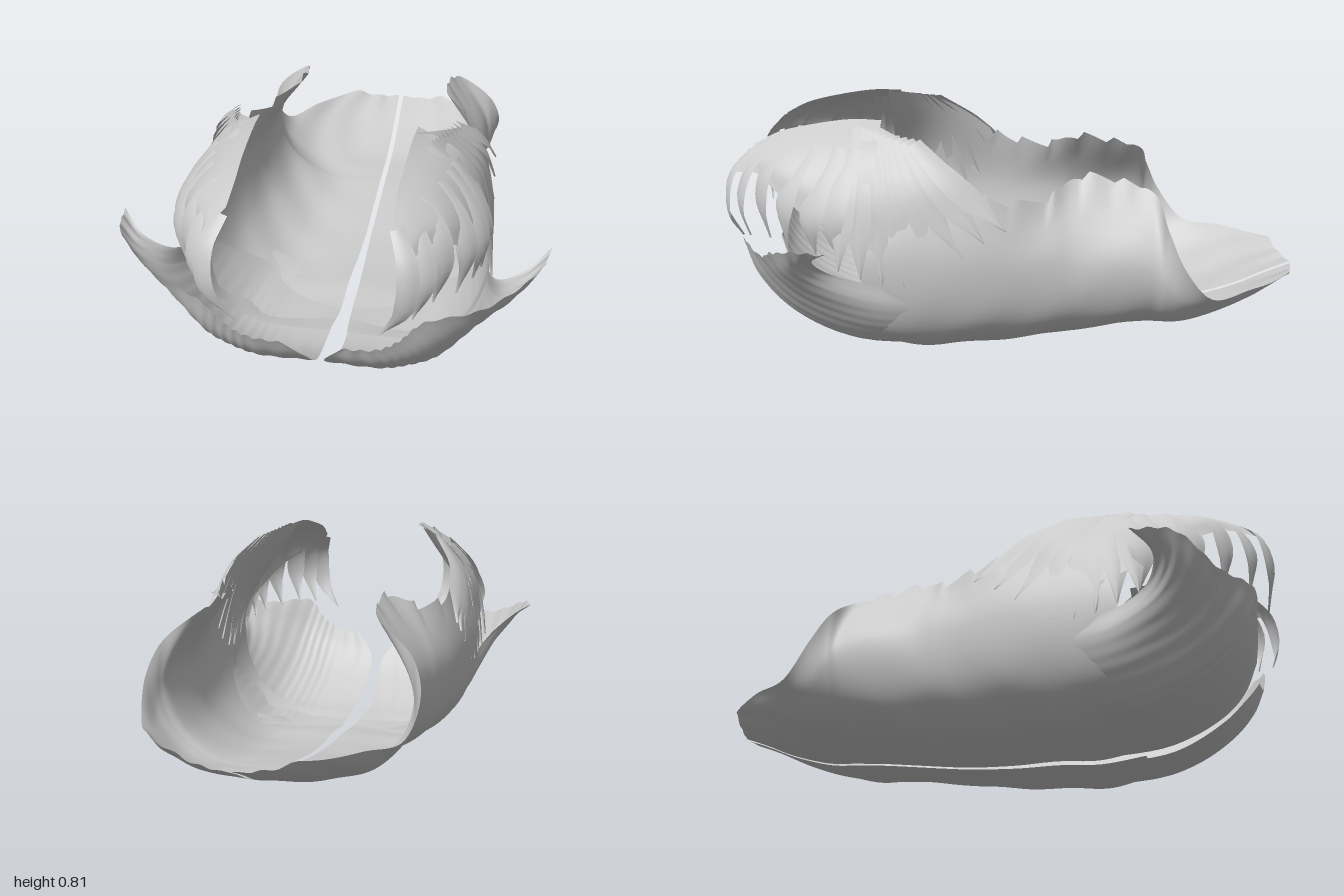
import * as THREE from 'three';

const material = new THREE.MeshStandardMaterial({ color: 0xcccccc, side: THREE.DoubleSide });

// Smooth surface through a grid of points (rows of equal length), resampled both ways
function loft(rows, nu, nv, adjust) {
  const sample = (pts, n) => {
    const curve = new THREE.CatmullRomCurve3(pts);
    return Array.from({ length: n + 1 }, (_, i) => curve.getPoint(i / n));
  };
  const across = rows.map(r => sample(r, nv));
  const cols = across[0].map((_, j) => sample(across.map(r => r[j]), nu));
  const pos = [], idx = [];
  for (let j = 0; j <= nv; j++) for (let i = 0; i <= nu; i++) {
    const p = cols[j][i];
    if (adjust) adjust(p, i / nu, j / nv);
    pos.push(p.x, p.y, p.z);
  }
  for (let j = 0; j < nv; j++) for (let i = 0; i < nu; i++) {
    const a = j * (nu + 1) + i, b = a + nu + 1;
    idx.push(a, b, a + 1, b, b + 1, a + 1);
  }
  const g = new THREE.BufferGeometry();
  g.setAttribute('position', new THREE.Float32BufferAttribute(pos, 3));
  g.setIndex(idx);
  g.computeVertexNormals();
  return g;
}

// Pointed feather: a ribbon along a path, lying flat on the bulging wing
function feather(path, width) {
  const curve = new THREE.CatmullRomCurve3(path);
  const centre = new THREE.Vector3(0, 0.4, 0.4);
  const rows = [];
  for (let i = 0; i <= 8; i++) {
    const t = i / 8, p = curve.getPoint(t);
    const out = p.clone().sub(centre).normalize();
    const side = curve.getTangent(t).cross(out).normalize();
    const w = width * 0.5 * Math.max(0.04, Math.min(0.6 + t, 2.6 * (1 - t), 1));
    rows.push([p.clone().addScaledVector(side, -w),
      p.clone().addScaledVector(out, 0.006), p.clone().addScaledVector(side, w)]);
  }
  return loft(rows, 12, 4);
}

// Hull cross-sections: z, then x,y pairs from keel to torn rim
const hull = [
  [-1, 0.01, 0.225, 0.06, 0.225, 0.1, 0.23, 0.15, 0.24, 0.19, 0.26],
  [-0.9, 0.01, 0.185, 0.08, 0.19, 0.15, 0.205, 0.21, 0.23, 0.25, 0.255],
  [-0.8, 0.01, 0.14, 0.12, 0.15, 0.22, 0.175, 0.29, 0.21, 0.335, 0.25],
  [-0.65, 0.01, 0.095, 0.18, 0.105, 0.3, 0.145, 0.38, 0.2, 0.43, 0.255],
  [-0.55, 0.01, 0.085, 0.2, 0.09, 0.34, 0.14, 0.42, 0.23, 0.46, 0.37],
  [-0.5, 0.01, 0.08, 0.21, 0.085, 0.36, 0.16, 0.43, 0.29, 0.42, 0.48],
  [-0.45, 0.01, 0.075, 0.22, 0.085, 0.365, 0.18, 0.42, 0.36, 0.3, 0.585],
  [-0.2, 0.01, 0.04, 0.24, 0.055, 0.385, 0.17, 0.42, 0.38, 0.28, 0.63],
  [-0.12, 0.01, 0.03, 0.25, 0.045, 0.4, 0.17, 0.435, 0.38, 0.35, 0.585],
  [0.05, 0.015, 0.02, 0.26, 0.025, 0.42, 0.15, 0.47, 0.36, 0.43, 0.58],
  [0.2, 0.02, 0.02, 0.28, 0.02, 0.44, 0.15, 0.49, 0.38, 0.42, 0.68],
  [0.35, 0.02, 0.01, 0.28, 0.012, 0.44, 0.13, 0.495, 0.41, 0.36, 0.765],
  [0.5, 0.03, 0.03, 0.28, 0.04, 0.44, 0.16, 0.49, 0.42, 0.25, 0.81],
];

// Flared collar at the front: each row runs from the floor to the rim
const collar = [
  [[0.03, 0.012, 0.35], [0.03, 0.035, 0.6], [0.02, 0.12, 0.77], [0.03, 0.2, 0.85], [0.09, 0.28, 0.9]],
  [[0.18, 0.01, 0.29], [0.2, 0.03, 0.58], [0.2, 0.12, 0.77], [0.2, 0.22, 0.87], [0.2, 0.3, 0.91]],
  [[0.25, 0.02, 0.24], [0.28, 0.045, 0.57], [0.28, 0.14, 0.765], [0.28, 0.25, 0.87], [0.265, 0.345, 0.915]],
  [[0.32, 0.045, 0.16], [0.36, 0.07, 0.53], [0.36, 0.17, 0.75], [0.35, 0.3, 0.87], [0.33, 0.42, 0.92]],
  [[0.42, 0.13, 0.22], [0.45, 0.16, 0.5], [0.46, 0.25, 0.7], [0.48, 0.34, 0.78], [0.5, 0.42, 0.82]],
  [[0.475, 0.22, 0.3], [0.495, 0.25, 0.48], [0.54, 0.33, 0.64], [0.6, 0.41, 0.7], [0.65, 0.487, 0.7]],
  [[0.49, 0.3, 0.36], [0.5, 0.33, 0.5], [0.54, 0.38, 0.6], [0.61, 0.44, 0.63], [0.685, 0.49, 0.57]],
];

// Overhanging wing that carries the front feathers
const wing = [
  [[0.25, 0.81, 0.45], [0.38, 0.735, 0.45], [0.46, 0.6, 0.45], [0.492, 0.42, 0.4]],
  [[0.245, 0.812, 0.55], [0.37, 0.73, 0.58], [0.455, 0.61, 0.6], [0.485, 0.48, 0.58]],
  [[0.24, 0.79, 0.7], [0.33, 0.735, 0.73], [0.39, 0.67, 0.76], [0.41, 0.6, 0.77]],
  [[0.235, 0.765, 0.8], [0.28, 0.73, 0.83], [0.32, 0.69, 0.85], [0.335, 0.65, 0.86]],
  [[0.24, 0.725, 0.88], [0.265, 0.7, 0.9], [0.285, 0.67, 0.92], [0.295, 0.64, 0.94]],
];

// Long feathers curling down at the front
const fingers = [
  [[0.37, 0.74, 0.52], [0.455, 0.62, 0.57], [0.485, 0.52, 0.59], [0.47, 0.4, 0.57]],
  [[0.36, 0.74, 0.58], [0.45, 0.62, 0.63], [0.475, 0.52, 0.66], [0.45, 0.41, 0.65]],
  [[0.34, 0.74, 0.66], [0.41, 0.65, 0.72], [0.44, 0.55, 0.75], [0.41, 0.42, 0.75]],
  [[0.3, 0.74, 0.76], [0.36, 0.66, 0.82], [0.375, 0.55, 0.84], [0.35, 0.43, 0.82]],
  [[0.28, 0.72, 0.83], [0.32, 0.65, 0.89], [0.335, 0.54, 0.92], [0.3, 0.42, 0.9]],
  [[0.25, 0.71, 0.89], [0.29, 0.63, 0.955], [0.285, 0.5, 0.975], [0.21, 0.39, 0.95]],
];

// Side feathers fan from the wing top to these z,y tips
const sideTips = [[0.03, 0.5], [0.1, 0.46], [0.17, 0.41], [0.22, 0.36], [0.3, 0.32],
  [0.36, 0.31], [0.43, 0.32], [0.5, 0.34], [0.57, 0.37]];

function buildHalf(s) {
  const half = new THREE.Group();
  const V = ([x, y, z]) => new THREE.Vector3(x * s, y, z);
  const grid = rows => rows.map(r => r.map(V));
  const add = (name, geometry, parent = half) => {
    const mesh = new THREE.Mesh(geometry, material);
    mesh.name = name;
    parent.add(mesh);
  };

  // Hull with a slanted tail end and a ragged upper rim
  const sections = hull.map(([z, ...xy], row) => [0, 2, 4, 6, 8].map(i =>
    V([xy[i], xy[i + 1], row === 0 ? z + xy[i] * 0.25 : z])));
  add('hull', loft(sections, 120, 36, (p, u, v) => {
    const tear = (p.z * 9 + 10) % 1;
    if (v > 0.9 && p.z > -0.42 && p.z < 0.12) p.y += (v - 0.9) * 0.35 * (tear - 0.5);
    p.y = Math.max(0, p.y + 0.003 * Math.sin(p.z * 24 + v * 14) * Math.min(1, v * 3));
  }));

  // Collar with shallow ridges following its flare
  add('collar', loft(grid(collar), 72, 24, (p, u, v) => {
    p.y = Math.max(0, p.y + 0.004 * Math.sin(u * 90 + v * 6) * v);
  }));

  add('wing', loft(grid(wing), 30, 16));

  const feathers = new THREE.Group();
  feathers.name = 'feathers';
  half.add(feathers);
  fingers.forEach((f, i) =>
    add('frontFeather', feather(f.map(V), 0.1 - 0.006 * i), feathers));
  sideTips.forEach(([z, y], i) => {
    const k = i / (sideTips.length - 1);
    const rootZ = 0.33 + 0.2 * k, rootY = 0.76 + 0.035 * k;
    const at = (x, t) => [x, rootY + (y - rootY) * t, rootZ + (z - rootZ) * t];
    const back = 0.03 * (1 - k);
    add('sideFeather', feather([at(0.365 - 0.07 * k, 0), at(0.44, 0.35),
      at(0.49 - back, 0.7), at(0.505 - back, 1)].map(V), 0.085), feathers);
  });

  // Loose shard lying on the inner floor
  add('innerShard', loft(grid([
    [[0.31, 0.08, 0.12], [0.32, 0.085, 0.15]],
    [[0.24, 0.06, 0.14], [0.27, 0.06, 0.22]],
    [[0.19, 0.045, 0.2], [0.25, 0.045, 0.27]]]), 6, 2));
  return half;
}

export function createModel() {
  const model = new THREE.Group();
  model.name = 'splitShell';
  for (const s of [1, -1]) {
    const half = buildHalf(s);
    half.name = s > 0 ? 'leftHalf' : 'rightHalf';
    model.add(half);
  }
  return model;
}
